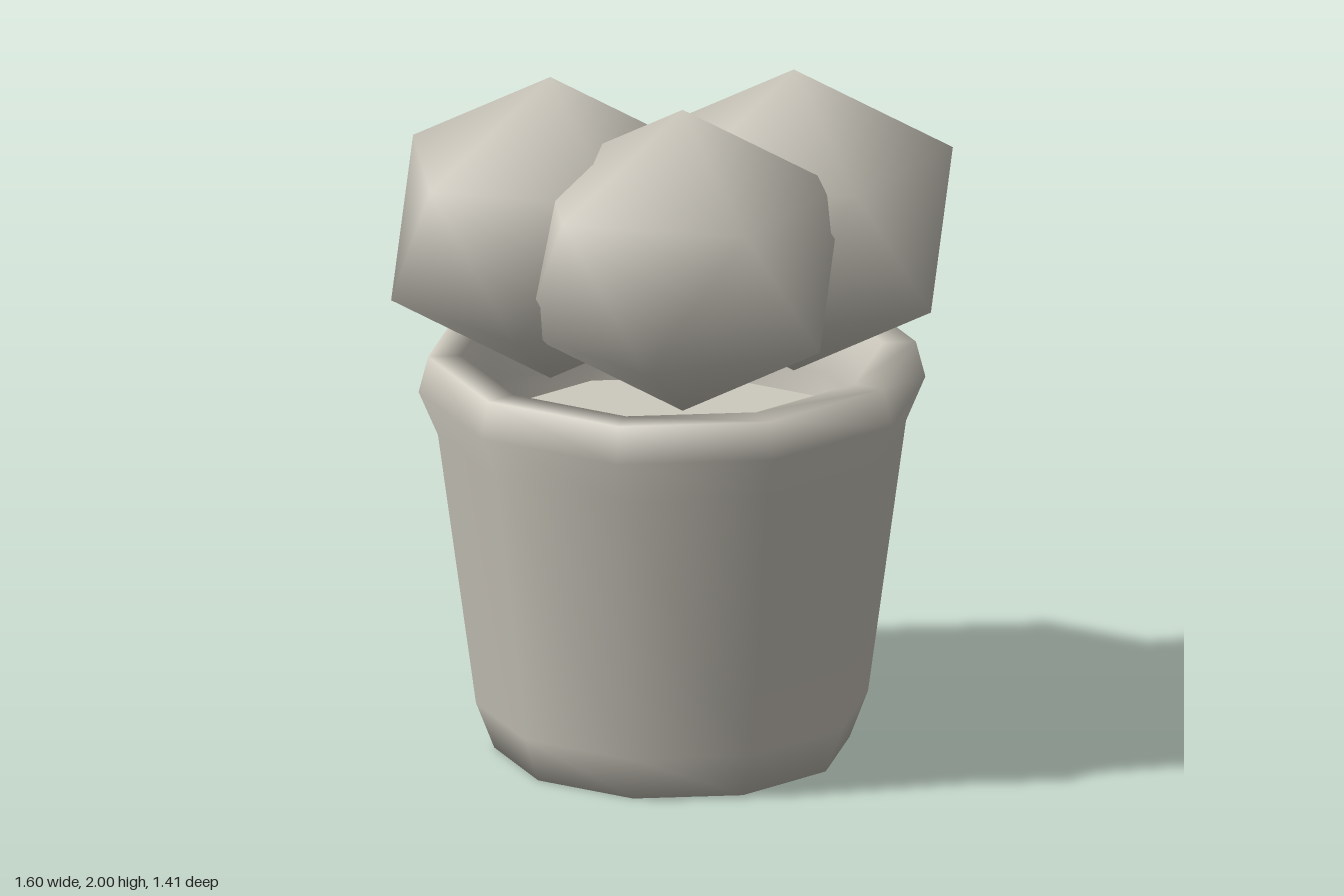
import * as THREE from 'three';

const SIDES = 10;
const CENTRE_Z = -0.02;

// Ten-sided turned surface with a corner on the x axis
function turned(points) {
  const profile = points.map(([r, y]) => new THREE.Vector2(r, y));
  return new THREE.LatheGeometry(profile, SIDES, Math.PI / 2);
}

// Smooth-shaded icosahedron standing on a point: pole, two rings of five, pole
function ballGeometry() {
  const rx = 0.452, rz = 0.428, ry = 0.45, ring = 0.203;
  const pos = [0, ry, 0];
  for (const [y, turn] of [[ring, 0], [-ring, Math.PI / 5]]) {
    for (let i = 0; i < 5; i++) {
      const a = turn + (i * Math.PI * 2) / 5;
      pos.push(rx * Math.cos(a), y, -rz * Math.sin(a));
    }
  }
  pos.push(0, -ry, 0);
  const index = [];
  for (let i = 0; i < 5; i++) {
    const j = (i + 1) % 5;
    const u = 1 + i, un = 1 + j, l = 6 + i, ln = 6 + j;
    index.push(0, u, un, u, l, un, un, l, ln, l, 11, ln);
  }
  const geo = new THREE.BufferGeometry();
  geo.setAttribute('position', new THREE.Float32BufferAttribute(pos, 3));
  geo.setIndex(index);
  geo.computeVertexNormals();
  return geo;
}

export function createModel() {
  const group = new THREE.Group();
  const clay = new THREE.MeshStandardMaterial({ color: 0xcdc9be });
  clay.name = 'warm grey';

  const add = (name, geometry, x, y, z) => {
    const mesh = new THREE.Mesh(geometry, clay);
    mesh.name = name;
    mesh.position.set(x, y, z);
    group.add(mesh);
  };

  // Pot: closed base, tapering wall, flared rim and inner wall
  add('pot', turned([
    [0, 0], [0.505, 0], [0.557, 0.135], [0.665, 0.94], [0.72, 1.07],
    [0.693, 1.175], [0.6, 1.175], [0.585, 0.97], [0.57, 0.88],
  ]), 0, 0, CENTRE_Z);

  // Filling inside the pot
  add('soil', turned([[0.575, 0.9], [0, 0.9]]), 0, 0, CENTRE_Z);

  // Three faceted balls of the plant
  const ball = ballGeometry();
  add('frontBall', ball, 0, 1.55, 0.3);
  add('leftBall', ball, 0.346, 1.55, CENTRE_Z);
  add('rightBall', ball, -0.346, 1.55, CENTRE_Z);

  return group;
}
